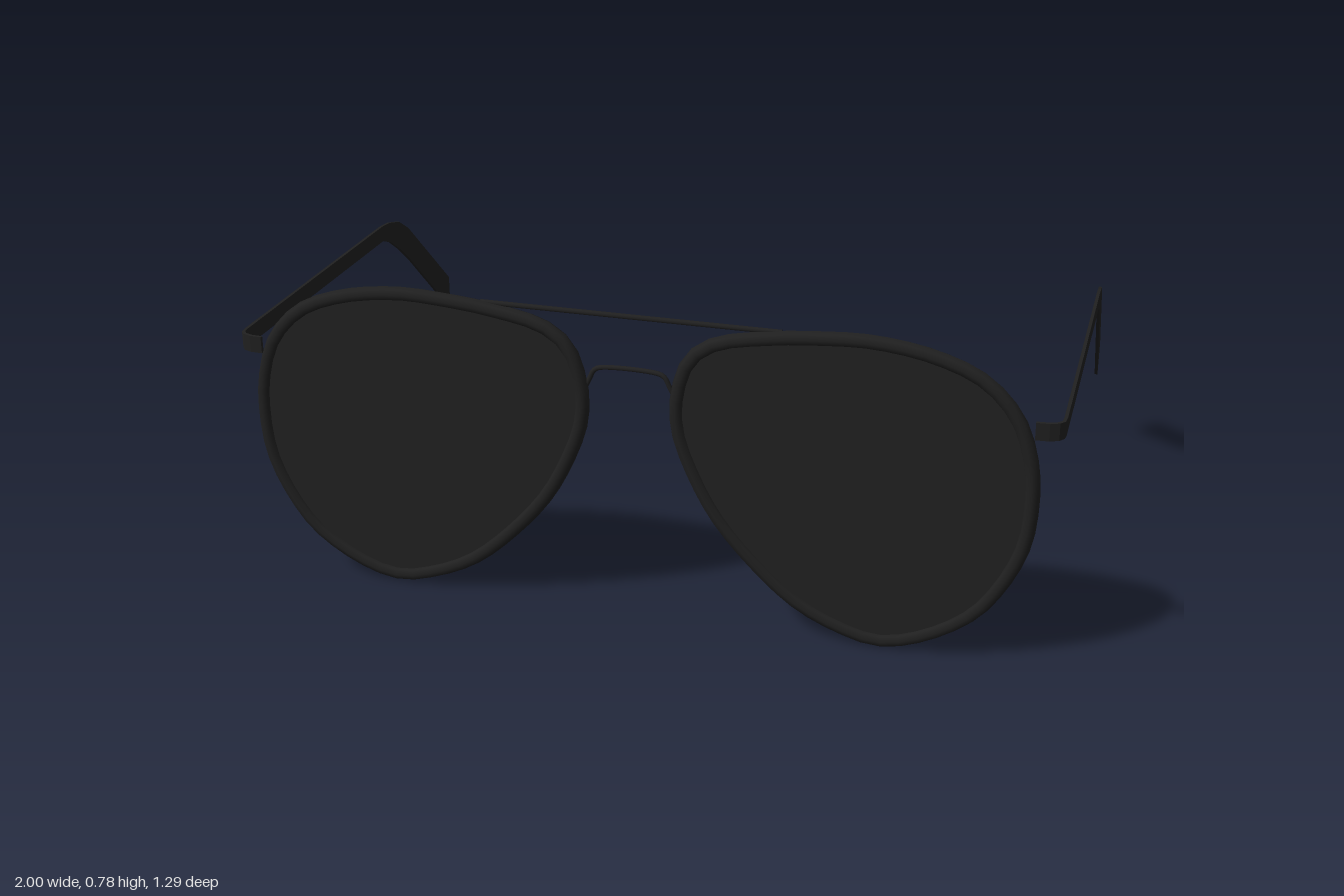
import * as THREE from 'three';

const frameMat = new THREE.MeshStandardMaterial({ color: 0x202020 });
frameMat.name = 'black frame';
const lensMat = new THREE.MeshStandardMaterial({ color: 0x222222 });
lensMat.name = 'dark lens';

const FRONT_Z = 0.625;   // middle plane of the rims
const RIM = 0.0175;      // rim wire radius

// Teardrop outer outline of the left eye, clockwise from the nose side
const OUTLINE = [
  [0.098, 0.58], [0.13, 0.687], [0.195, 0.742], [0.33, 0.773], [0.45, 0.786], [0.57, 0.79],
  [0.715, 0.768], [0.83, 0.72], [0.91, 0.635], [0.948, 0.527], [0.956, 0.43], [0.944, 0.313],
  [0.90, 0.206], [0.83, 0.11], [0.71, 0.033], [0.605, 0.006], [0.505, 0.028], [0.40, 0.078],
  [0.30, 0.163], [0.195, 0.286], [0.126, 0.42], [0.101, 0.50],
];

// Move the outline inward by d along its normals
function inset(points, d) {
  const n = points.length;
  return points.map(([x, y], i) => {
    const a = points[(i + n - 1) % n], b = points[(i + 1) % n];
    const tx = b[0] - a[0], ty = b[1] - a[1], l = Math.hypot(tx, ty);
    return new THREE.Vector2(x + (ty / l) * d, y - (tx / l) * d);
  });
}

function add(group, name, geometry, material) {
  const mesh = new THREE.Mesh(geometry, material);
  mesh.name = name;
  group.add(mesh);
}

// Round wire through the given points
function wire(points, radius, segments, closed = false, sides = 8) {
  const curve = new THREE.CatmullRomCurve3(points, closed, 'centripetal');
  return new THREE.TubeGeometry(curve, segments, radius, sides, closed);
}

// Flat strip standing on edge; stations are [x, z, bottom, top]
function strip(stations, thickness) {
  const pos = [], index = [], n = stations.length;
  stations.forEach(([x, z, lo, hi], i) => {
    const a = stations[Math.max(i - 1, 0)], b = stations[Math.min(i + 1, n - 1)];
    const tx = b[0] - a[0], tz = b[1] - a[1], l = Math.hypot(tx, tz);
    const ox = (-tz / l) * thickness / 2, oz = (tx / l) * thickness / 2;
    pos.push(x + ox, lo, z + oz, x + ox, hi, z + oz, x - ox, hi, z - oz, x - ox, lo, z - oz);
  });
  const quad = (a, b, c, d) => index.push(a, b, c, a, c, d);
  for (let i = 0; i < n - 1; i++) {
    for (let k = 0; k < 4; k++) {
      const a = i * 4 + k, b = i * 4 + (k + 1) % 4;
      quad(a, a + 4, b + 4, b);
    }
  }
  quad(0, 1, 2, 3);
  const e = (n - 1) * 4;
  quad(e + 3, e + 2, e + 1, e);
  const indexed = new THREE.BufferGeometry();
  indexed.setAttribute('position', new THREE.Float32BufferAttribute(pos, 3));
  indexed.setIndex(index);
  const g = indexed.toNonIndexed();
  g.computeVertexNormals();
  return g;
}

// Mirror the outline and stations in x by s, keeping faces outward
function buildSide(s) {
  const side = new THREE.Group();
  side.name = s > 0 ? 'leftSide' : 'rightSide';

  // Rim
  const centre = inset(OUTLINE, RIM);
  add(side, 'rim', wire(centre.map(p => new THREE.Vector3(s * p.x, p.y, FRONT_Z)), RIM, 56, true), frameMat);

  // Lens plate
  const spline = new THREE.CatmullRomCurve3(
    centre.map(p => new THREE.Vector3(s * p.x, p.y, 0)), true, 'centripetal');
  const shape = new THREE.Shape(spline.getPoints(56).slice(0, -1).map(p => new THREE.Vector2(p.x, p.y)));
  const lens = new THREE.ExtrudeGeometry(shape, { depth: 0.012, bevelEnabled: false });
  lens.translate(0, 0, FRONT_Z - 0.006);
  add(side, 'lens', lens, lensMat);

  // Hinge curve and temple arm with its drooping ear hook
  const stations = [
    [0.935, 0.622, 0.58, 0.622], [0.965, 0.62, 0.58, 0.622], [0.985, 0.612, 0.58, 0.622],
    [0.994, 0.6, 0.58, 0.622], [0.996, 0.58, 0.579, 0.622], [0.996, -0.22, 0.579, 0.622],
    [0.996, -0.27, 0.559, 0.617], [0.994, -0.33, 0.516, 0.601], [0.992, -0.385, 0.469, 0.565],
    [0.984, -0.643, 0.222, 0.322],
  ].map(([x, z, lo, hi]) => [s * x, z, lo, hi]);
  add(side, 'templeArm', strip(stations, 0.008), frameMat);
  return side;
}

export function createModel() {
  const model = new THREE.Group();
  model.name = 'sunglasses';
  model.add(buildSide(1), buildSide(-1));

  // Straight brow bar
  const bar = new THREE.CylinderGeometry(0.0065, 0.0065, 0.72, 8);
  bar.rotateZ(Math.PI / 2);
  bar.translate(0, 0.772, 0.621);
  add(model, 'browBar', bar, frameMat);

  // Arched nose bridge
  const half = [[0.108, 0.585], [0.096, 0.61], [0.086, 0.63], [0.072, 0.638]];
  const bridge = [
    ...half.map(([x, y]) => new THREE.Vector3(-x, y, 0.621)),
    ...half.reverse().map(([x, y]) => new THREE.Vector3(x, y, 0.621)),
  ];
  add(model, 'noseBridge', wire(bridge, 0.006, 32), frameMat);
  return model;
}
